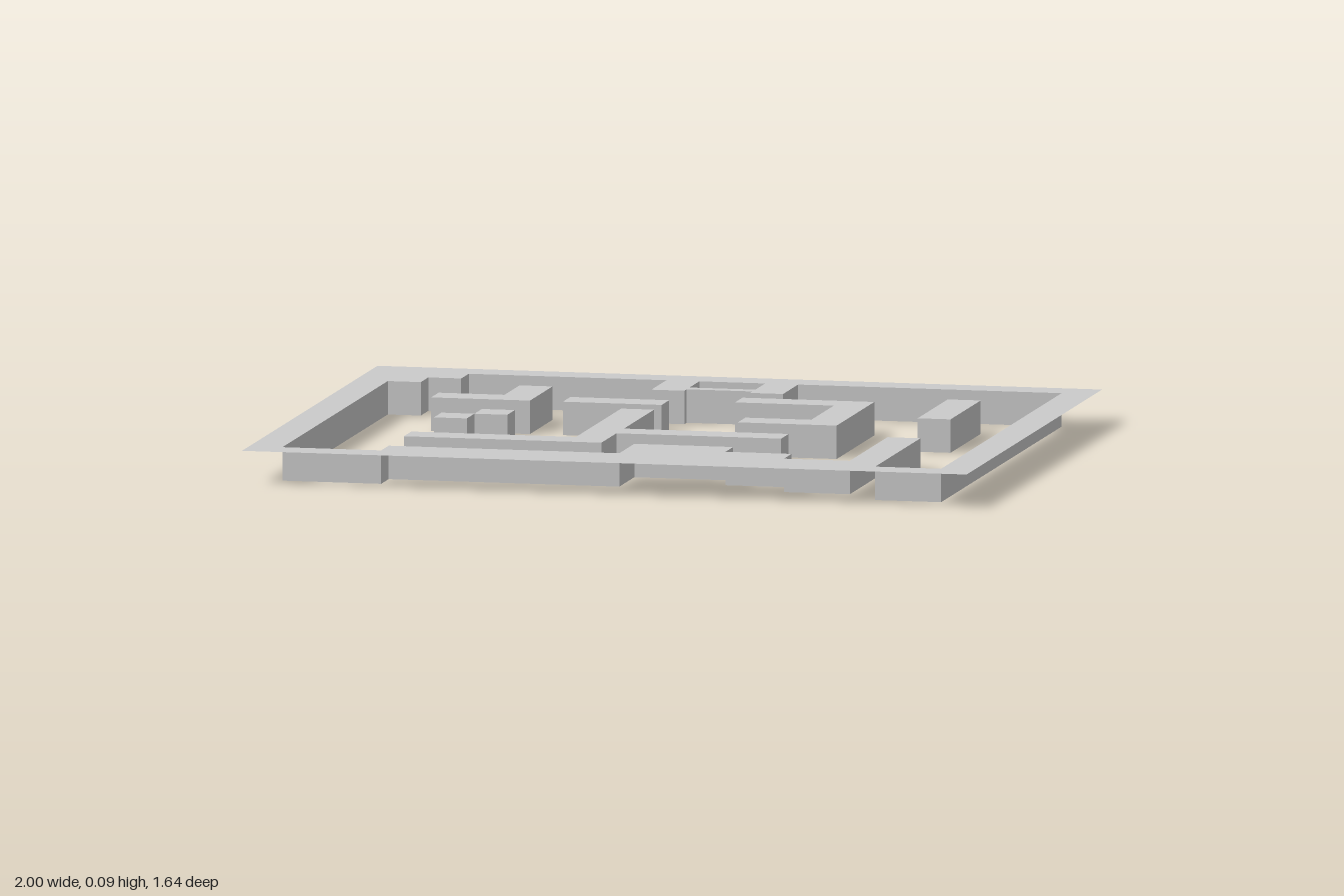
import * as THREE from 'three';
import { mergeGeometries } from 'three/addons/utils/BufferGeometryUtils.js';

const U = 1 / 11; // one maze cell; also the wall height
const material = new THREE.MeshStandardMaterial({ color: 0xcccccc, flatShading: true, side: THREE.DoubleSide });

// Outline points are [x, z] in cells; plan vectors use y = -z.
const toPlan = (pts) => pts.map(([x, z]) => new THREE.Vector2(x * U, -z * U));

// Upright faces along an outline, with the solid on the left of the path.
function sideFaces(plan, isHole) {
  const path = THREE.ShapeUtils.isClockWise(plan) === isHole ? plan : [...plan].reverse();
  const pos = [];
  path.forEach((a, i) => {
    const b = path[(i + 1) % path.length];
    const quad = [[a, 0], [b, 0], [b, U], [a, 0], [b, U], [a, U]];
    quad.forEach(([p, y]) => pos.push(p.x, y, -p.y));
  });
  const geo = new THREE.BufferGeometry();
  geo.setAttribute('position', new THREE.Float32BufferAttribute(pos, 3));
  geo.computeVertexNormals();
  return geo;
}

function topFace(shape) {
  const geo = new THREE.ShapeGeometry(shape).toNonIndexed();
  geo.deleteAttribute('uv');
  return geo.rotateX(-Math.PI / 2).translate(0, U, 0);
}

function addMesh(group, name, geo) {
  const mesh = new THREE.Mesh(geo, material);
  mesh.name = name;
  group.add(mesh);
  return mesh;
}

// Free-standing wall, open underneath
function addWall(group, name, pts) {
  const plan = toPlan(pts);
  addMesh(group, name, mergeGeometries([topFace(new THREE.Shape(plan)), sideFaces(plan, false)]));
}

const rect = (x0, z0, x1, z1) => [[x0, z0], [x1, z0], [x1, z1], [x0, z1]];

export function createModel() {
  const group = new THREE.Group();
  group.name = 'maze';

  // Border: flat rim with upright faces only around the inner outline
  const inner = toPlan([
    [-10, -6], [-9, -6], [-9, -7], [-8, -7], [-8, -8], [-2, -8], [-2, -6], [-1, -6], [-1, -8],
    [1, -8], [1, -6], [2, -6], [2, -8], [10, -8], [10, 8], [8, 8], [8, 2], [7, 2], [7, 7],
    [5, 7], [5, 6], [3, 6], [3, 5], [0, 5], [0, 7], [-7, 7], [-7, 8], [-10, 8],
  ]);
  const rim = new THREE.Shape(toPlan(rect(-11, -9, 11, 9)));
  rim.holes.push(new THREE.Path(inner));
  addMesh(group, 'border', mergeGeometries([topFace(rim), sideFaces(inner, true)]));

  // Thin gate between the two rear posts
  addMesh(group, 'gate', new THREE.BoxGeometry(2 * U, U, 0.035)).position.set(0, U / 2, -6.5 * U);

  // Inner walls
  addWall(group, 'cornerWall', [[-6, -6], [-5, -6], [-5, -3], [-8, -3], [-8, -4], [-6, -4]]);
  addWall(group, 'shortWall', rect(-4, -4, -1, -3));
  addWall(group, 'hookWall', [[1, -5], [5, -5], [5, 0], [2, 0], [2, -1], [4, -1], [4, -4], [1, -4]]);
  addWall(group, 'sideWall', rect(7, -6, 8, -2));
  addWall(group, 'branchedWall', [
    [-2, -2], [-1, -2], [-1, 2], [4, 2], [4, 3], [-1, 3], [-1, 5], [-7, 5], [-7, 4], [-2, 4],
  ]);
  addWall(group, 'rearBlock', rect(-6, -1, -5, 0));
  addWall(group, 'frontBlock', rect(-7, 0, -6, 1));

  return group;
}
